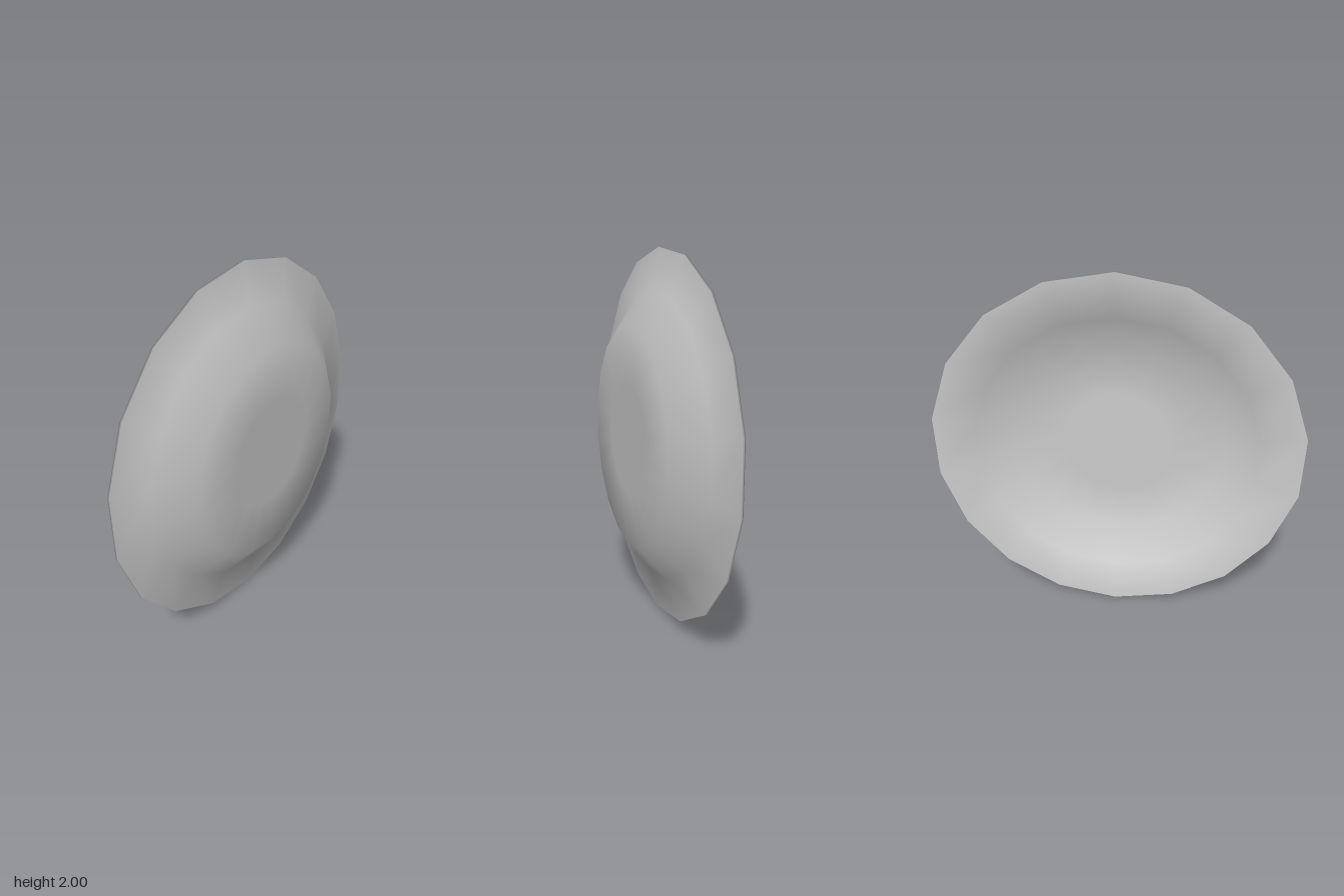
import * as THREE from 'three';

// Shallow dish standing on edge: an 18-sided smooth lathe facing +z.
export function createModel() {
  const group = new THREE.Group();
  group.name = 'plate';

  // Closed profile as (radius, depth): back centre, round the rim, to front centre
  const profile = [
    [0, 0.078], [0.3, 0.078], [0.59, 0.078], // inner floor
    [0.77, -0.06],                           // inner wall
    [1, -0.093], [1, -0.08],                 // rim edge
    [0.78, -0.045],                          // underside of the rim
    [0.6, 0.093], [0.3, 0.093], [0, 0.093],  // outer wall and base
  ].map(([r, z]) => new THREE.Vector2(r, z));

  // Turn the lathe axis from y to z, with a corner at the top and bottom
  const geometry = new THREE.LatheGeometry(profile, 18);
  geometry.rotateX(Math.PI / 2);
  geometry.translate(0, 1, 0);

  const dish = new THREE.Mesh(geometry, new THREE.MeshStandardMaterial({ color: 0xcccccc }));
  dish.name = 'dish';
  group.add(dish);
  return group;
}
